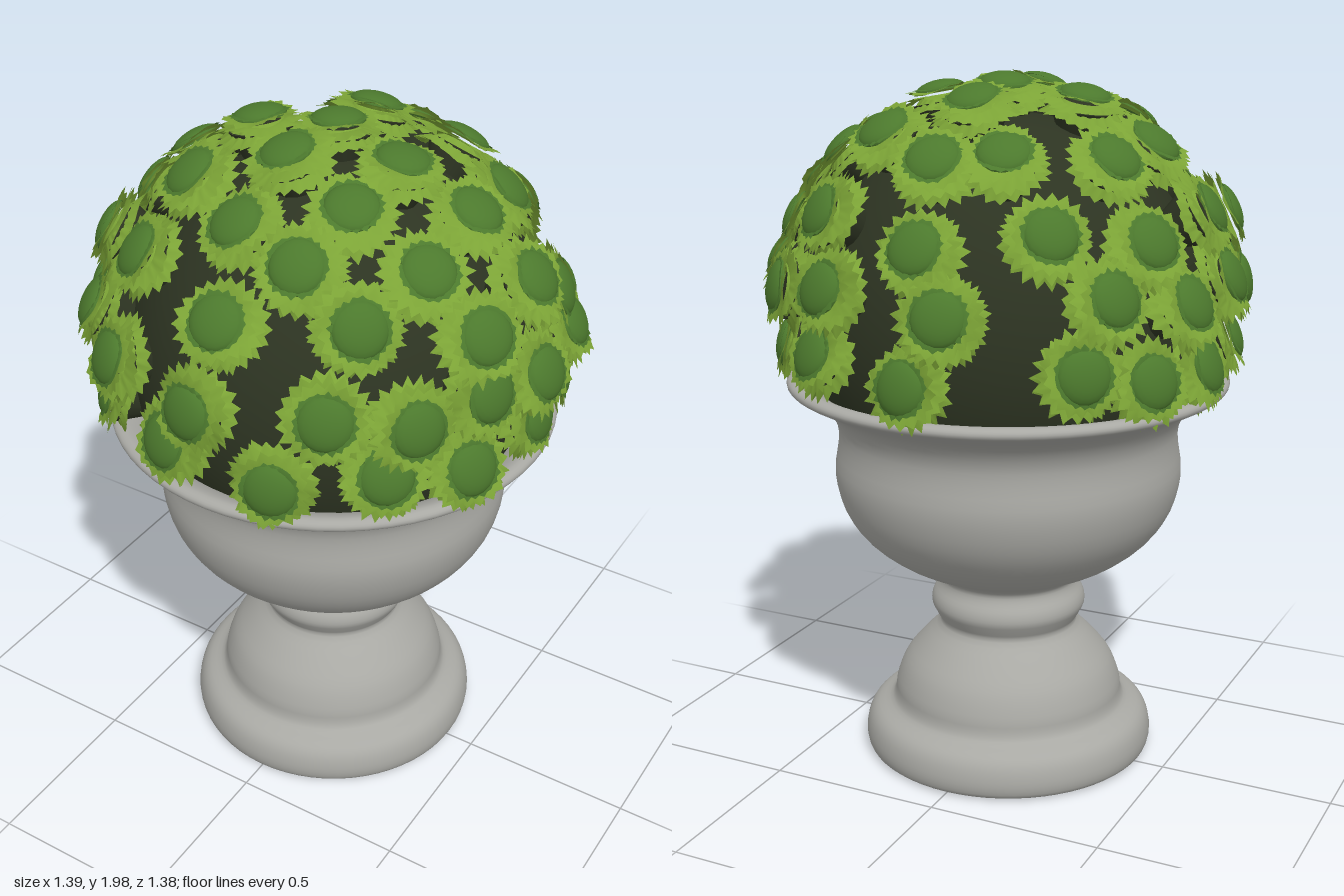
import * as THREE from 'three';

const mat = (name, color, extra = {}) => {
  const m = new THREE.MeshStandardMaterial({ color, ...extra });
  m.name = name;
  return m;
};

// small seeded generator for the uneven petals
let seed = 7;
const rand = () => {
  seed = (seed * 16807) % 2147483647;
  return seed / 2147483647;
};

// Serrated ring around +z, sloping from the inner edge to pointed tips
function serratedRing(teeth, rIn, rNotch, rTip, zIn, zOut, wobble) {
  const pos = [], index = [], n = teeth * 2;
  const phase = rand() * 6.28;
  for (let i = 0; i < n; i++) {
    const a = (i / n) * Math.PI * 2;
    const wave = Math.sin(a * 3 + phase) * wobble;
    const r = (i % 2 ? rTip : rNotch) * (1 + (rand() - 0.5) * 0.1);
    const rm = (rIn + rNotch) / 2;
    const z = zOut + wave + (rand() - 0.5) * wobble * 0.5;
    pos.push(Math.cos(a) * rIn, Math.sin(a) * rIn, zIn);
    pos.push(Math.cos(a) * rm, Math.sin(a) * rm, (zIn + zOut + wave) / 2 + 0.004);
    pos.push(Math.cos(a) * r, Math.sin(a) * r, z);
    const b = i * 3, c = ((i + 1) % n) * 3;
    for (let k = 0; k < 2; k++) {
      index.push(b + k, b + k + 1, c + k, b + k + 1, c + k + 1, c + k);
    }
  }
  const g = new THREE.BufferGeometry();
  g.setAttribute('position', new THREE.Float32BufferAttribute(pos, 3));
  g.setIndex(index);
  g.computeVertexNormals();
  return g;
}

export function createModel() {
  const root = new THREE.Group();
  root.name = 'plantedUrn';
  const stone = mat('stone grey', 0xa9a9a4, { side: THREE.DoubleSide });
  const base = mat('dark base', 0x555555);
  const foliage = mat('dark foliage', 0x2d3422);
  const petal = mat('leaf green', 0x7ca436, { side: THREE.DoubleSide });
  const heart = mat('deep green', 0x4c792d, { side: THREE.DoubleSide });

  const add = (parent, name, geo, m) => {
    const mesh = new THREE.Mesh(geo, m);
    mesh.name = name;
    parent.add(mesh);
    return mesh;
  };

  // Urn: one turned profile from foot to rim
  const profile = [
    [0.40, 0.004], [0.42, 0.015], [0.427, 0.05], [0.418, 0.095], [0.395, 0.125],
    [0.352, 0.145], [0.338, 0.17], [0.332, 0.21], [0.305, 0.275], [0.25, 0.34],
    [0.203, 0.39], [0.212, 0.42], [0.226, 0.45], [0.222, 0.48], [0.204, 0.51],
    [0.202, 0.535], [0.235, 0.56], [0.33, 0.605], [0.42, 0.675], [0.477, 0.76],
    [0.5, 0.86], [0.489, 0.95], [0.492, 1.01], [0.525, 1.065], [0.60, 1.108],
    [0.628, 1.125], [0.626, 1.143], [0.60, 1.15], [0.55, 1.125], [0.50, 1.08],
  ].map(([x, y]) => new THREE.Vector2(x, y));
  const turned = new THREE.SplineCurve(profile).getPoints(90);
  add(root, 'urn', new THREE.LatheGeometry(turned, 64), stone);

  // Underside of the foot
  const foot = add(root, 'footUnderside', new THREE.CircleGeometry(0.402, 64), base);
  foot.rotation.x = Math.PI / 2;
  foot.position.y = 0.003;

  // Dark rounded bush core
  const core = add(root, 'bushCore', new THREE.SphereGeometry(0.565, 48, 32, 0, Math.PI * 2, 0, 1.98), foliage);
  core.position.y = 1.3;
  core.scale.y = 1.02;

  // Flower head variants: back-swept skirt, raised collar and frilled heart
  const variants = [0, 1, 2, 3].map(() => ({
    skirt: serratedRing(20, 0.06, 0.1, 0.124, 0.005, -0.04, 0.008),
    outer: serratedRing(21, 0.055, 0.102, 0.124, 0.0, -0.006, 0.01),
    inner: serratedRing(18, 0.055, 0.09, 0.106, 0.012, 0.018, 0.008),
    frill: serratedRing(20, 0.05, 0.074, 0.081, 0.022, 0.024, 0.003),
  }));
  const bulb = new THREE.CylinderGeometry(0.088, 0.05, 0.1, 16, 1);
  bulb.rotateX(Math.PI / 2);
  bulb.translate(0, 0, -0.065);
  const dome = new THREE.SphereGeometry(0.073, 18, 6, 0, Math.PI * 2, 0, Math.PI / 2);
  dome.rotateX(Math.PI / 2);
  dome.scale(1, 1, 0.42);
  dome.translate(0, 0, 0.016);

  const flowers = new THREE.Group();
  flowers.name = 'flowers';
  root.add(flowers);
  let count = 0;
  // a lower aimY turns the head further upwards
  function flower(x, y, z, aimY) {
    const f = new THREE.Group();
    f.name = 'flower';
    f.position.set(x, y, z);
    const out = new THREE.Vector3(x, y - aimY, z).normalize();
    f.quaternion.setFromUnitVectors(new THREE.Vector3(0, 0, 1), out);
    f.rotateX((rand() - 0.5) * 0.25);
    f.rotateY((rand() - 0.5) * 0.25);
    f.rotateZ(rand() * 6.28);
    const v = variants[count++ % variants.length];
    add(f, 'bulb', bulb, foliage);
    add(f, 'skirtPetals', v.skirt, petal);
    add(f, 'outerPetals', v.outer, petal);
    add(f, 'innerPetals', v.inner, petal);
    add(f, 'heartFrill', v.frill, heart);
    add(f, 'heart', dome, heart);
    flowers.add(f);
  }

  // Upper flowers: x, z on the dome, with the height where it leaves the dome
  const upper = [
    [0, -0.02], [0, -0.21], [-0.22, 0.01], [0.225, 0.04], [-0.025, 0.175],
    [0.2, 0.24, 1.86], [-0.06, 0.35, 1.8], [-0.27, 0.245], [0.155, 0.41, 1.77], [0.41, 0.235],
    [0.33, 0.42, 1.66], [-0.33, 0.4, 1.67], [0.01, 0.545, 1.64], [0.41, 0], [0.58, 0, 1.67],
    [0.58, -0.155, 1.57], [0.39, -0.205], [0.215, -0.3], [0.31, -0.46], [0, -0.435],
    [-0.17, -0.38], [-0.33, -0.46], [-0.39, -0.2], [-0.52, -0.265], [-0.415, 0.02],
    [-0.575, 0, 1.64], [-0.02, -0.57, 1.58], [0.57, 0.235, 1.62], [-0.55, 0.235, 1.61],
  ];
  for (const [x, z, y] of upper) {
    const onDome = Math.min(1.94, 1.3 + Math.sqrt(0.65 ** 2 - x * x - z * z));
    flower(x, y ?? onDome, z, 1.27);
  }

  // Lower rows: angle in degrees from the front towards +x
  const row = (angles, y, r, aimY) => angles.forEach((deg, i) => {
    const a = THREE.MathUtils.degToRad(deg);
    flower(Math.sin(a) * r, y + (i % 2 ? 0.02 : -0.02), Math.cos(a) * r, aimY);
  });
  row([-2, 30, 50, 68, 88, 107, 132, 158, -170, -131, -108, -89, -70, -52, -32], 1.445, 0.635, 1.2);
  row([-97, -74, -45, -12, 17, 44, 66, 90, 117, 150, 180, -137, -118], 1.255, 0.61, 1.1);

  return root;
}
